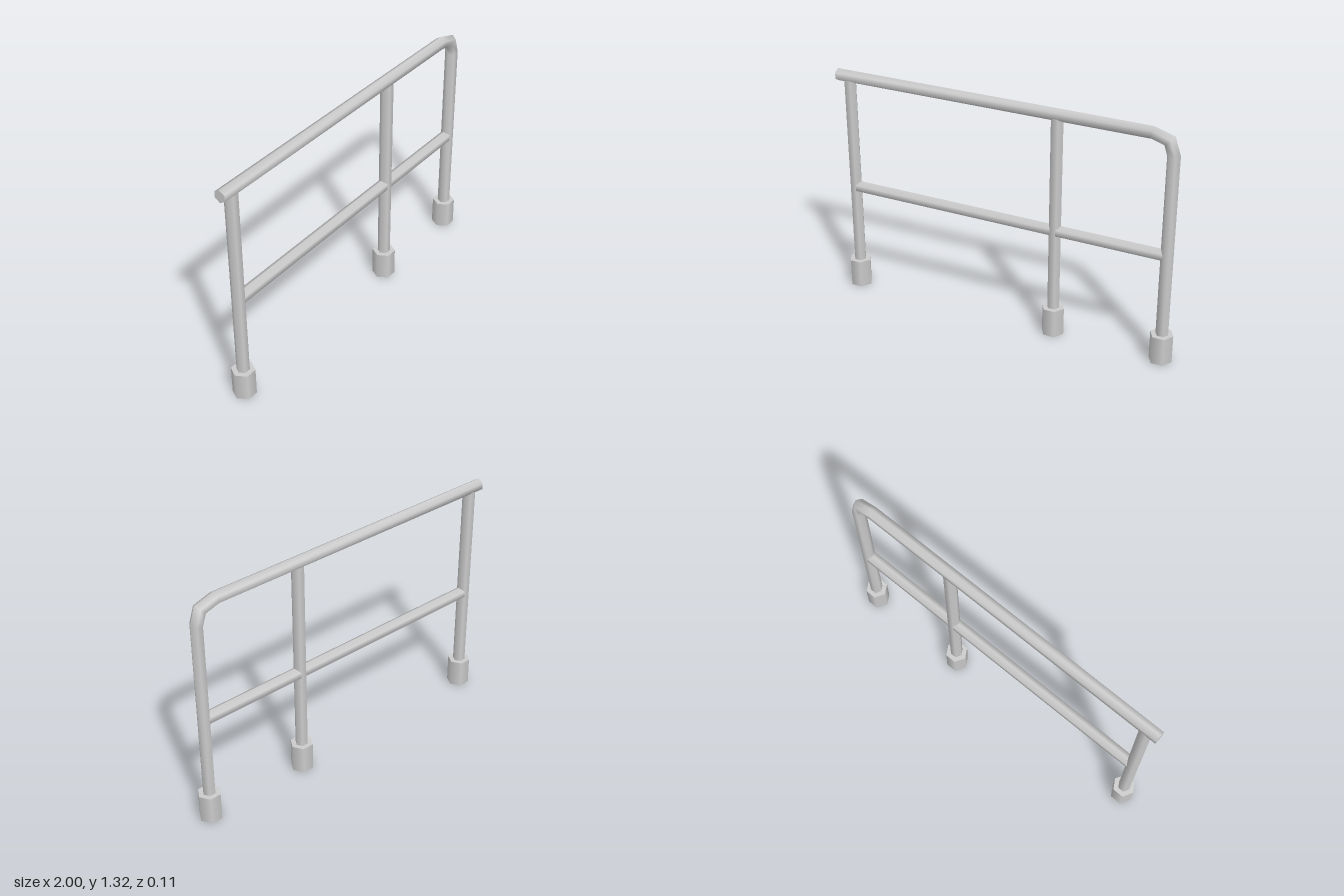
import * as THREE from 'three';

const R = 0.035; // pipe radius
const SIDES = 6;
const MAT = new THREE.MeshStandardMaterial({ color: 0xcccccc, side: THREE.DoubleSide });

function add(group, name, geometry) {
  const mesh = new THREE.Mesh(geometry, MAT);
  mesh.name = name;
  group.add(mesh);
  return mesh;
}

// Upright six-sided bar with its corners pointing along x
function hexBar(radius, length) {
  return new THREE.CylinderGeometry(radius, radius, length, SIDES).rotateY(Math.PI / 2);
}

// Six-sided pipe swept along a path in the xy plane, with mitred corners
function bentPipe(path, radius) {
  const pos = [], idx = [];
  const pts = path.map(([x, y]) => new THREE.Vector2(x, y));
  const dir = (i) => pts[i + 1].clone().sub(pts[i]).normalize();
  const last = pts.length - 1;
  pts.forEach((p, i) => {
    const before = dir(Math.max(i - 1, 0));
    const after = dir(Math.min(i, last - 1));
    const t = before.clone().add(after).normalize();
    const stretch = radius / t.dot(before);
    for (let k = 0; k < SIDES; k++) {
      const a = (k / SIDES) * Math.PI * 2;
      const c = Math.cos(a) * stretch;
      pos.push(p.x - t.y * c, p.y + t.x * c, Math.sin(a) * radius);
    }
  });
  for (let i = 0; i < last; i++) {
    for (let k = 0; k < SIDES; k++) {
      const a = i * SIDES + k, b = i * SIDES + ((k + 1) % SIDES);
      idx.push(a, b, a + SIDES, b, b + SIDES, a + SIDES);
    }
  }
  // Flat end caps with their own vertices
  for (const end of [0, last]) {
    const base = pos.length / 3;
    pos.push(...pos.slice(end * SIDES * 3, (end + 1) * SIDES * 3));
    for (let k = 1; k < SIDES - 1; k++) {
      if (end === 0) idx.push(base, base + k + 1, base + k);
      else idx.push(base, base + k, base + k + 1);
    }
  }
  const g = new THREE.BufferGeometry();
  g.setAttribute('position', new THREE.Float32BufferAttribute(pos, 3));
  g.setIndex(idx);
  g.computeVertexNormals();
  return g;
}

export function createModel() {
  const model = new THREE.Group();
  model.name = 'guardRail';
  const postX = [-0.925, 0.31, 0.935];

  // Top rail that bends down into the end post
  add(model, 'topRailAndEndPost', bentPipe([
    [-1, 1.284], [0.82, 1.284], [0.91, 1.256], [0.935, 1.18], [0.935, 0.02],
  ], R));

  // Two straight posts under the top rail
  postX.slice(0, 2).forEach((x, i) => {
    add(model, ['outerPost', 'middlePost'][i], hexBar(R, 1.25)).position.set(x, 0.645, 0);
  });

  // Middle rail in two spans between the posts
  for (let i = 0; i < 2; i++) {
    const length = postX[i + 1] - postX[i] - 0.03;
    const span = add(model, 'middleRail', hexBar(R, length).rotateZ(Math.PI / 2));
    span.position.set((postX[i] + postX[i + 1]) / 2, 0.625, 0);
  }

  // Thick sockets at the feet
  for (const x of postX) {
    add(model, 'footSocket', hexBar(0.064, 0.16)).position.set(x, 0.08, 0);
  }
  return model;
}
